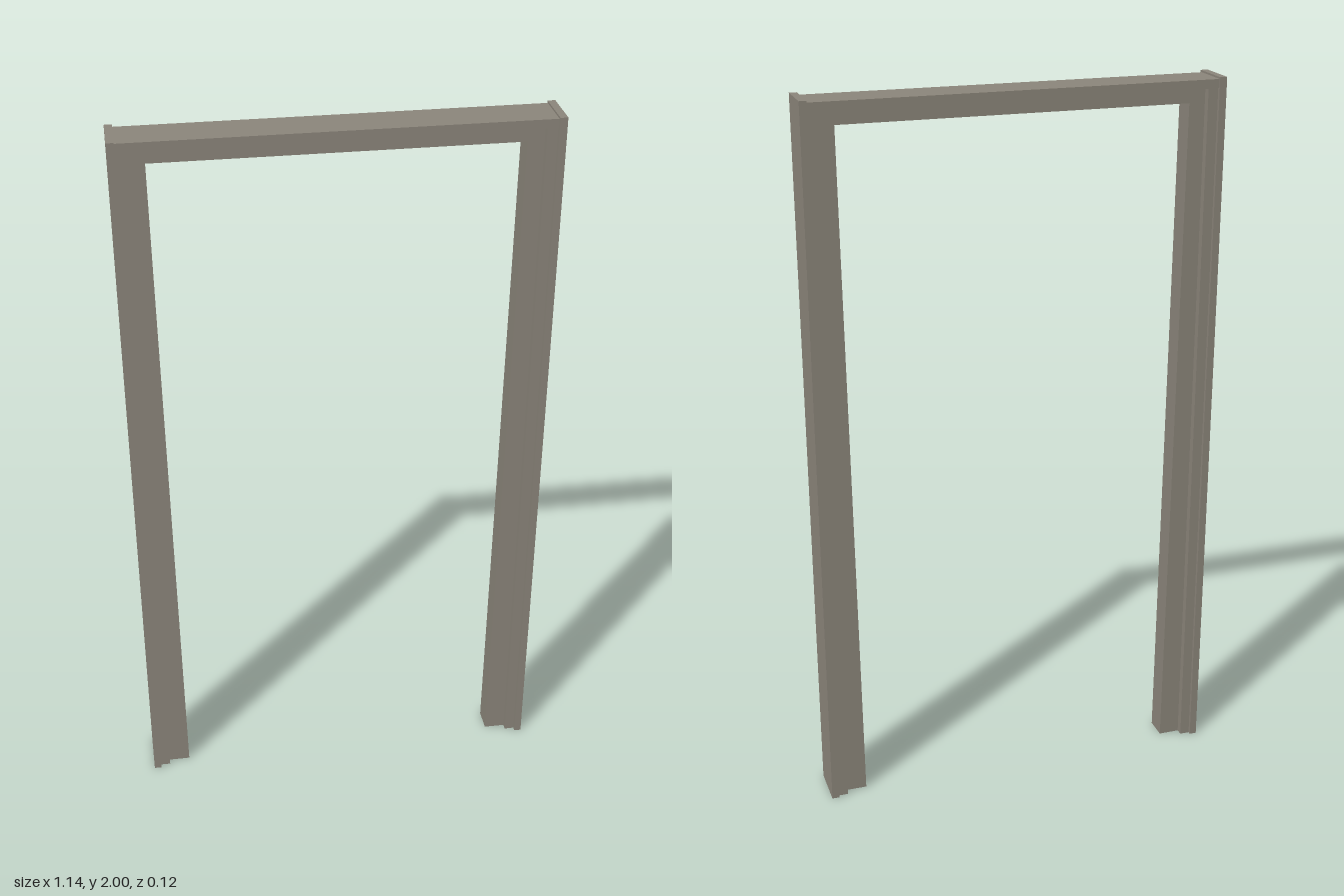
import * as THREE from 'three';

export function createModel() {
  const group = new THREE.Group();
  const paint = new THREE.MeshStandardMaterial({ color: 0x8c867b });
  paint.name = 'warm grey paint';

  // Box given by its minimum and maximum on each axis
  function board(name, x0, x1, y0, y1, z0, z1) {
    const geo = new THREE.BoxGeometry(x1 - x0, y1 - y0, z1 - z0);
    geo.translate((x0 + x1) / 2, (y0 + y1) / 2, (z0 + z1) / 2);
    const mesh = new THREE.Mesh(geo, paint);
    mesh.name = name;
    group.add(mesh);
  }

  // Upright stop whose inner edge leans inwards towards the floor
  function taperedStop(name, side) {
    const outline = new THREE.Shape([
      [0.5225, 0], [0.5225, 1.971], [0.478, 1.971], [0.478, 1.931], [0.463, 0],
    ].map(([x, y]) => new THREE.Vector2(side * x, y)));
    const geo = new THREE.ExtrudeGeometry(outline, { depth: 0.065, bevelEnabled: false });
    geo.translate(0, 0, -0.0325);
    const mesh = new THREE.Mesh(geo, paint);
    mesh.name = name;
    group.add(mesh);
  }

  for (const [label, side] of [['left', 1], ['right', -1]]) {
    const upright = (name, a, b, top, z0, z1) =>
      board(label + name, Math.min(side * a, side * b), Math.max(side * a, side * b), 0, top, z0, z1);
    upright('OuterPost', 0.55, 0.57, 2, -0.0625, 0.0625);
    upright('JambLining', 0.5225, 0.55, 1.971, -0.053, 0.05);
    taperedStop(label + 'DoorStop', side);
  }

  // Head of the frame
  board('headBoard', -0.55, 0.55, 1.971, 1.995, -0.059, 0.055);
  board('headStop', -0.478, 0.478, 1.931, 1.971, -0.0325, 0.0325);

  return group;
}
